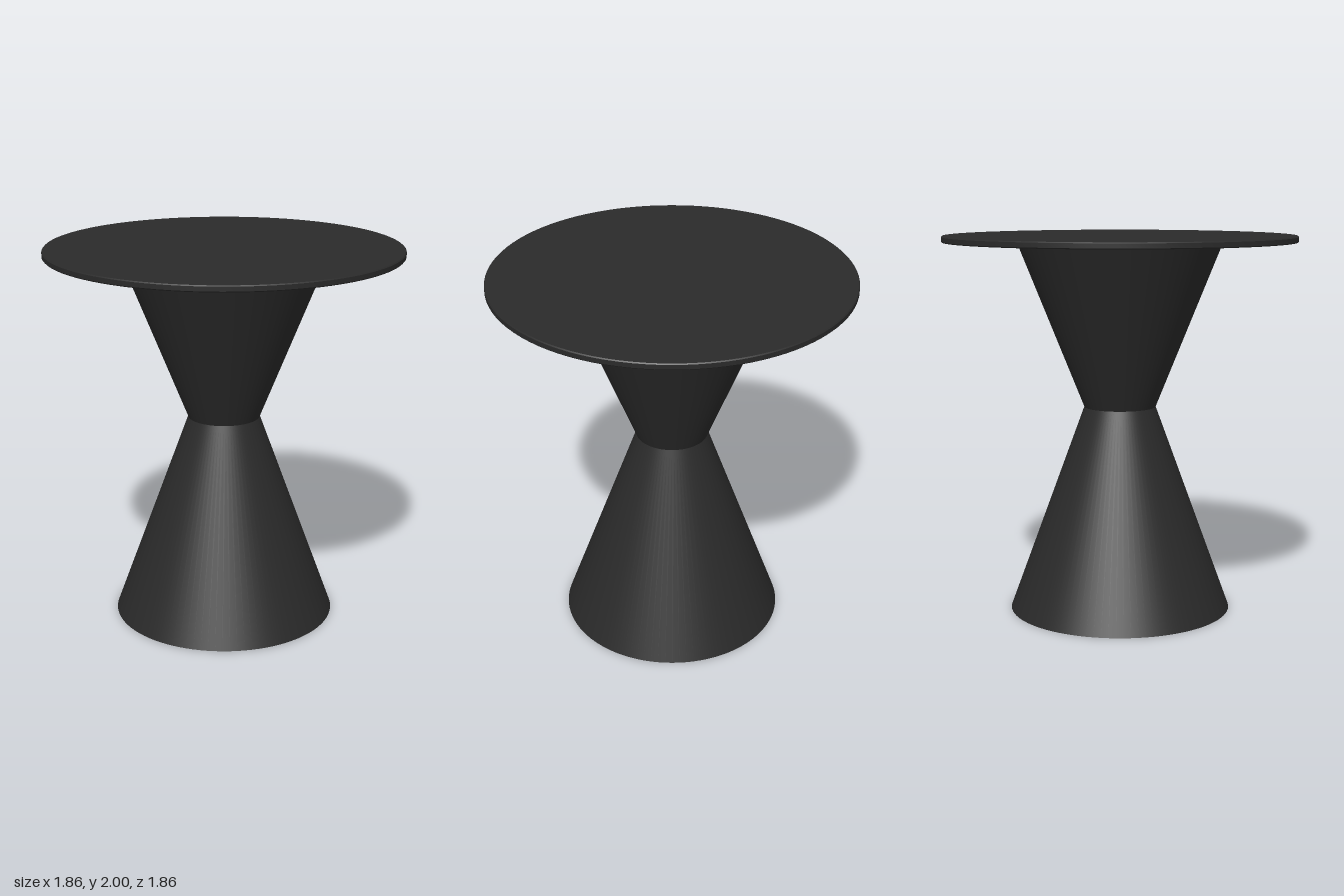
import * as THREE from 'three';
import { toCreasedNormals } from 'three/addons/utils/BufferGeometryUtils.js';

const SEGMENTS = 96;
const WAIST_Y = 1.095, WAIST_R = 0.19;
const TOP_R = 0.93, TOP_Y = 2, TOP_THICKNESS = 0.033, BEVEL = 0.005;

export function createModel() {
  const group = new THREE.Group();
  group.name = 'pedestalTable';
  const material = new THREE.MeshStandardMaterial({ color: 0x2a2a2a });

  const add = (name, geometry) => {
    const mesh = new THREE.Mesh(geometry, material);
    mesh.name = name;
    group.add(mesh);
  };

  // Truncated cone standing between two heights
  const cone = (bottomR, topR, y0, y1) =>
    new THREE.CylinderGeometry(topR, bottomR, y1 - y0, SEGMENTS).translate(0, (y0 + y1) / 2, 0);

  // Hourglass pedestal
  const underside = TOP_Y - TOP_THICKNESS;
  add('lowerCone', cone(0.59, WAIST_R, 0, WAIST_Y));
  add('upperCone', cone(WAIST_R, 0.54, WAIST_Y, underside));

  // Thin round top with slightly eased edges
  const profile = [
    [0, underside], [TOP_R - BEVEL, underside], [TOP_R, underside + BEVEL],
    [TOP_R, TOP_Y - BEVEL], [TOP_R - BEVEL, TOP_Y], [0, TOP_Y],
  ].map(([r, y]) => new THREE.Vector2(r, y));
  add('tabletop', toCreasedNormals(new THREE.LatheGeometry(profile, SEGMENTS), 0.5));

  return group;
}
